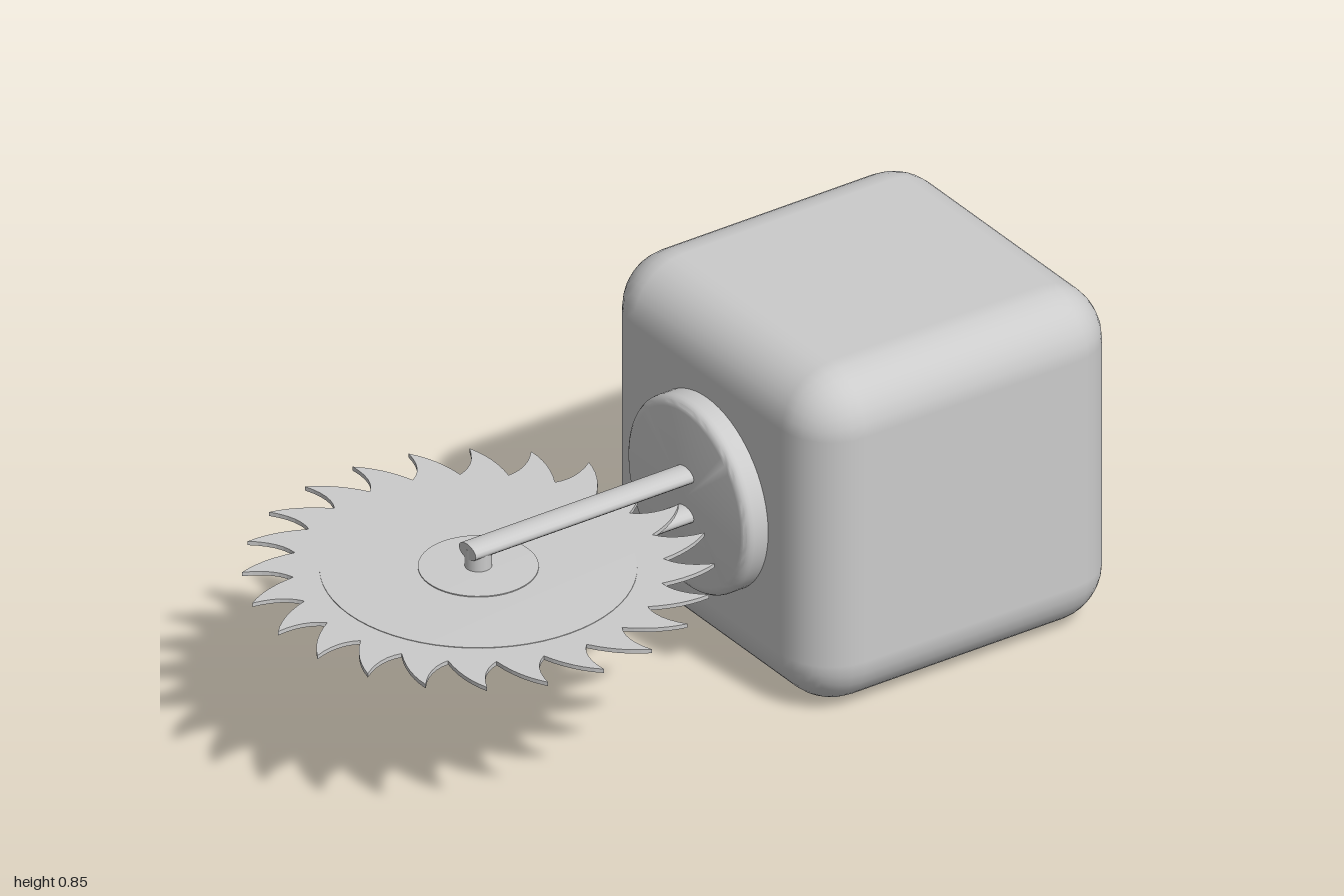
import * as THREE from 'three';
import { RoundedBoxGeometry } from 'three/addons/geometries/RoundedBoxGeometry.js';
import { toCreasedNormals } from 'three/addons/utils/BufferGeometryUtils.js';

const MID = 0.425;      // height of the shared centre line
const BLADE_Z = 0.47;   // blade axis
const TEETH = 24;

export function createModel() {
  const group = new THREE.Group();
  const material = new THREE.MeshStandardMaterial({ color: 0xcccccc });

  function add(name, geometry, x, y, z) {
    const mesh = new THREE.Mesh(geometry, material);
    mesh.name = name;
    mesh.position.set(x, y, z);
    group.add(mesh);
    return mesh;
  }
  const lathe = (points, segments) => toCreasedNormals(
    new THREE.LatheGeometry(points.map(([r, y]) => new THREE.Vector2(r, y)), segments), 0.7);

  // Rounded cube body
  add('body', new RoundedBoxGeometry(0.845, 0.85, 0.845, 4, 0.135), 0, MID, -0.5775);

  // Round mount with a softened front rim
  const mount = [[0, -0.02], [0.236, -0.02], [0.236, 0.038]];
  for (let i = 1; i <= 4; i++) {
    const a = (i / 4) * Math.PI / 2;
    mount.push([0.214 + 0.022 * Math.cos(a), 0.038 + 0.022 * Math.sin(a)]);
  }
  mount.push([0, 0.06]);
  add('mount', lathe(mount, 64), 0, MID, -0.155).rotation.x = Math.PI / 2;

  // Fork: two flattened bars, joined by the axle
  for (const side of [1, -1]) {
    const bar = new THREE.CylinderGeometry(0.033, 0.033, 0.61, 16);
    bar.rotateX(Math.PI / 2).scale(1, 0.58, 1);
    add(side > 0 ? 'upperArm' : 'lowerArm', bar, 0, MID + 0.008 + side * 0.051, 0.195);
  }
  add('axle', new THREE.CylinderGeometry(0.031, 0.031, 0.11, 16), 0, MID + 0.008, BLADE_Z);

  // Saw blade: hooked teeth around a thin disc
  const at = (r, deg) => [r * Math.cos(deg * Math.PI / 180), r * Math.sin(deg * Math.PI / 180)];
  const step = 360 / TEETH;
  const outline = new THREE.Shape();
  for (let i = 0; i < TEETH; i++) {
    const tip = 3 - i * step;
    if (i === 0) outline.moveTo(...at(0.415, tip + 11.5));
    outline.quadraticCurveTo(...at(0.487, tip + 6.5), ...at(0.528, tip));
    outline.quadraticCurveTo(...at(0.455, tip + 1.5), ...at(0.415, tip - 3.5));
  }
  const blade = new THREE.ExtrudeGeometry(outline, { depth: 0.01, bevelEnabled: false, curveSegments: 6 });
  blade.rotateX(Math.PI / 2).translate(0, 0.005, 0);
  add('sawBlade', blade, 0, MID + 0.002, BLADE_Z);

  // Shallow plate and hub on both faces of the blade
  add('bladePlate', lathe([[0, -0.011], [0.355, -0.0085], [0.355, 0.0085], [0, 0.011]], 64), 0, MID, BLADE_Z);
  add('bladeHub', lathe([[0, -0.0145], [0.135, -0.0125], [0.135, 0.0125], [0, 0.0145]], 48), 0, MID, BLADE_Z);

  return group;
}
